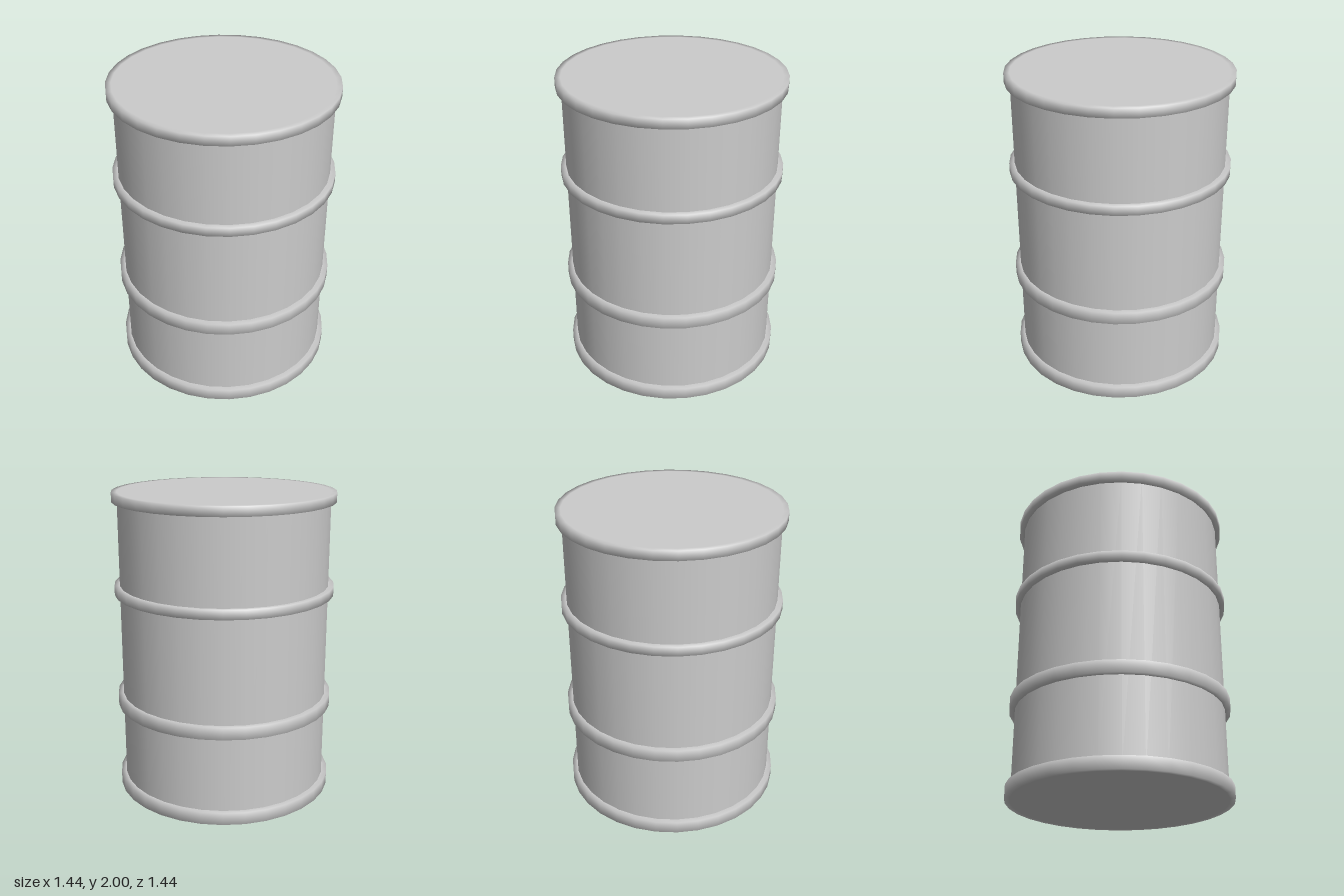
import * as THREE from 'three';

const SIDES = 32;
const BODY_R = 0.685;
const RIM_R = 0.72;

export function createModel() {
  const group = new THREE.Group();
  const material = new THREE.MeshStandardMaterial({ color: 0xcccccc });

  function add(name, geometry, y = 0) {
    const mesh = new THREE.Mesh(geometry, material);
    mesh.name = name;
    mesh.position.y = y;
    group.add(mesh);
  }

  // Drum wall with flat lid and base
  add('body', new THREE.CylinderGeometry(BODY_R, BODY_R, 2, SIDES), 1);

  // Raised hoops, softly shaded across their outer edges
  const hoops = [
    ['bottomRim', 0, 0.08],
    ['lowerHoop', 0.58, 0.66],
    ['upperHoop', 1.34, 1.4],
    ['topRim', 1.94, 2],
  ];
  for (const [name, y0, y1] of hoops) {
    const profile = [[BODY_R, y0], [RIM_R, y0], [RIM_R, y1], [BODY_R, y1]];
    const points = profile.map(([r, y]) => new THREE.Vector2(r, y));
    add(name, new THREE.LatheGeometry(points, SIDES));
  }

  return group;
}
